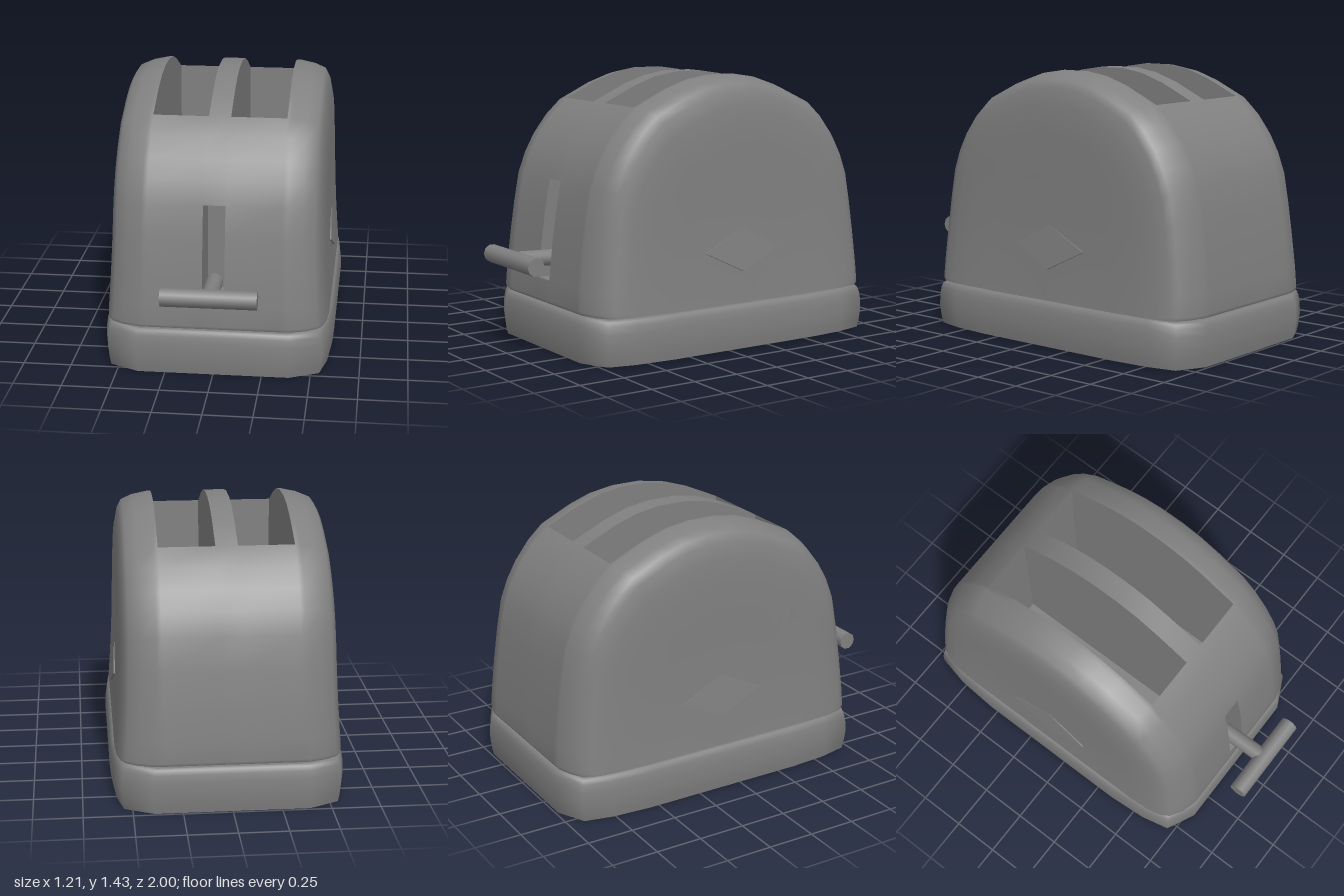
import * as THREE from 'three';

const ZC = -0.1;                       // the housing sits behind the lever
const Y0 = 0.245;                      // lower rim of the shell
const SLOT_IN = 0.057, SLOT_OUT = 0.345;

const material = () => new THREE.MeshStandardMaterial({ color: 0x808080, side: THREE.DoubleSide });

function addMesh(parent, name, geometry) {
  const mesh = new THREE.Mesh(geometry, material());
  mesh.name = name;
  parent.add(mesh);
  return mesh;
}

// Front half of the dome profile: [distance from centre in z, height]
const half = [
  [0.872, Y0], [0.88, 0.262], [0.874, 0.37], [0.855, 0.55], [0.83, 0.73], [0.8, 0.89],
  [0.757, 1.0], [0.7, 1.1], [0.62, 1.2], [0.53, 1.28], [0.345, 1.365], [0.21, 1.41], [0.08, 1.43],
];
const profile = [...half, ...half.slice().reverse().map(([z, y]) => [-z, y])];
const FRONT_SLOT = [2, 5];                          // profile rows of the lever slot
const TOP_SLOT = [9, profile.length - 10];          // profile rows of the bread slots

// Half width of the shell: flared towards the base
function halfWidth(y) {
  const t = Math.max(0, (0.9 - y) / 0.65);
  return 0.553 + 0.027 * t * t - 0.005 * Math.max(0, y - 0.9);
}

// Rounded shoulder and side wall: [fraction of half width, shrink in z, shrink in y]
const shoulder = [
  [0.67, 0.002, 0.001], [0.81, 0.03, 0.014], [0.915, 0.075, 0.034], [0.955, 0.12, 0.068],
  [0.985, 0.2, 0.14], [1, 0.33, 0.26], [1, 0.5, 0.45], [1, 0.74, 0.7], [1, 1, 1],
];

function shellGeometry() {
  const right = [
    ...[SLOT_IN, SLOT_OUT].map((x) => ({ x, sz: 0, sy: 0 })),
    ...shoulder.map(([k, sz, sy]) => ({ k, sz, sy })),
  ];
  const columns = [
    ...right.slice().reverse().map((c) => ({ ...c, side: -1 })),
    ...right.map((c) => ({ ...c, side: 1 })),
  ];
  const n = columns.length, mid = n / 2 - 1;
  const pos = [], idx = [];
  for (const [dz, py] of profile) {
    for (const { x, k, sz, sy, side } of columns) {
      const y = Y0 + (py - Y0) * (1 - sy);
      pos.push(side * (x ?? k * halfWidth(y)), y, ZC + dz * (1 - sz));
    }
  }
  const inside = (i, [a, b]) => i >= a && i < b;
  for (let i = 0; i < profile.length - 1; i++) {
    for (let j = 0; j < n - 1; j++) {
      if (j === mid && inside(i, FRONT_SLOT)) continue;
      if (Math.abs(j - mid) === 1 && inside(i, TOP_SLOT)) continue;
      const a = i * n + j, b = a + 1, d = a + n, c = d + 1;
      idx.push(a, b, c, a, c, d);
    }
  }
  const g = new THREE.BufferGeometry();
  g.setAttribute('position', new THREE.Float32BufferAttribute(pos, 3));
  g.setIndex(idx);
  g.computeVertexNormals();
  return g;
}

// Lining of an opening between two profile rows; toFloor maps a rim point to the pocket floor
function pocketGeometry([first, last], x0, x1, toFloor) {
  const rim = profile.slice(first, last + 1).map(([dz, y]) => [y, ZC + dz]);
  const floor = rim.map(([y, z]) => toFloor(y, z));
  const pos = [];
  const quad = (a, b, c, d) => pos.push(...a, ...b, ...c, ...a, ...c, ...d);
  const at = (x, p) => [x, p[0], p[1]];
  for (let i = 0; i < rim.length - 1; i++) {
    quad(at(x0, rim[i]), at(x0, floor[i]), at(x0, floor[i + 1]), at(x0, rim[i + 1]));
    quad(at(x1, rim[i]), at(x1, rim[i + 1]), at(x1, floor[i + 1]), at(x1, floor[i]));
    quad(at(x0, floor[i]), at(x1, floor[i]), at(x1, floor[i + 1]), at(x0, floor[i + 1]));
  }
  const e = rim.length - 1;
  quad(at(x0, rim[0]), at(x1, rim[0]), at(x1, floor[0]), at(x0, floor[0]));
  quad(at(x0, rim[e]), at(x0, floor[e]), at(x1, floor[e]), at(x1, rim[e]));
  const g = new THREE.BufferGeometry();
  g.setAttribute('position', new THREE.Float32BufferAttribute(pos, 3));
  g.computeVertexNormals();
  return g;
}

// Plan outline of the base, one quarter: [x, distance from centre in z]
const quarter = [[0.605, 0], [0.605, 0.455], [0.59, 0.667], [0.555, 0.825], [0.4, 0.9]];
const back = quarter.slice().reverse();
const outline = [
  ...quarter,
  ...back.map(([x, z]) => [-x, z]),
  ...quarter.slice(1).map(([x, z]) => [-x, -z]),
  ...back.slice(0, -1).map(([x, z]) => [x, -z]),
];

// Stack of inset outlines, levels as [height, inset], closed at both ends
function stackGeometry(levels) {
  const pos = [], idx = [], n = outline.length;
  for (const [y, inset] of levels) {
    for (const [x, z] of outline) pos.push(x * (1 - inset / 0.605), y, ZC + z * (1 - inset / 0.9));
  }
  for (let i = 0; i < levels.length - 1; i++) {
    for (let j = 0; j < n; j++) {
      const a = i * n + j, b = i * n + (j + 1) % n;
      idx.push(a, a + n, b + n, a, b + n, b);
    }
  }
  // End caps have their own corners so the rim stays sharp
  for (const [row, up] of [[0, false], [levels.length - 1, true]]) {
    const start = pos.length / 3;
    pos.push(...pos.slice(row * n * 3, (row + 1) * n * 3));
    for (let j = 1; j < n - 1; j++) {
      if (up) idx.push(start, start + j + 1, start + j);
      else idx.push(start, start + j, start + j + 1);
    }
  }
  const g = new THREE.BufferGeometry();
  g.setAttribute('position', new THREE.Float32BufferAttribute(pos, 3));
  g.setIndex(idx);
  g.computeVertexNormals();
  return g;
}

// Shallow diamond plate, tilted so its lower corner stands proud of the side
function plateGeometry() {
  const shape = new THREE.Shape([
    new THREE.Vector2(0.235, 0), new THREE.Vector2(0, 0.115),
    new THREE.Vector2(-0.235, 0), new THREE.Vector2(0, -0.115),
  ]);
  return new THREE.ExtrudeGeometry(shape, { depth: 0.03, bevelEnabled: false })
    .translate(0, 0, -0.03).rotateY(Math.PI / 2).rotateZ(0.1).translate(0.571, 0.525, 0);
}

export function createModel() {
  const model = new THREE.Group();
  model.name = 'toaster';

  // Base and the recessed neck under the shell
  addMesh(model, 'base', stackGeometry([
    [0, 0.013], [0.04, 0.006], [0.1, 0], [0.165, 0.002], [0.205, 0.008], [0.228, 0.016], [0.236, 0.028],
  ]));
  addMesh(model, 'neck', stackGeometry([[0.23, 0.05], [0.255, 0.05]]));

  // Shell with its openings
  addMesh(model, 'shell', shellGeometry());
  for (const [name, x0, x1] of [['leftBreadSlot', SLOT_IN, SLOT_OUT], ['rightBreadSlot', -SLOT_OUT, -SLOT_IN]]) {
    addMesh(model, name, pocketGeometry(TOP_SLOT, x0, x1, (y, z) => [0.45, z]));
  }
  // The lever slot has a ceiling that slopes down inwards
  addMesh(model, 'leverSlot', pocketGeometry(FRONT_SLOT, -SLOT_IN, SLOT_IN, (y) => [Math.min(y, 0.86), 0.5]));

  // Side plates
  for (const [name, turn] of [['leftPlate', 0], ['rightPlate', Math.PI]]) {
    const plate = addMesh(model, name, plateGeometry());
    plate.position.z = ZC;
    plate.rotation.y = turn;
  }

  // Lever: slightly rising arm and cross handle
  const lever = new THREE.Group();
  lever.name = 'lever';
  lever.position.y = 0.488;
  model.add(lever);
  addMesh(lever, 'leverArm', new THREE.CylinderGeometry(0.043, 0.043, 0.26, 16)
    .rotateX(Math.PI / 2 - 0.04).translate(0, -0.004, 0.82));
  addMesh(lever, 'leverHandle', new THREE.CylinderGeometry(0.048, 0.048, 0.486, 10)
    .rotateZ(Math.PI / 2).translate(0, 0, 0.952));
  return model;
}
